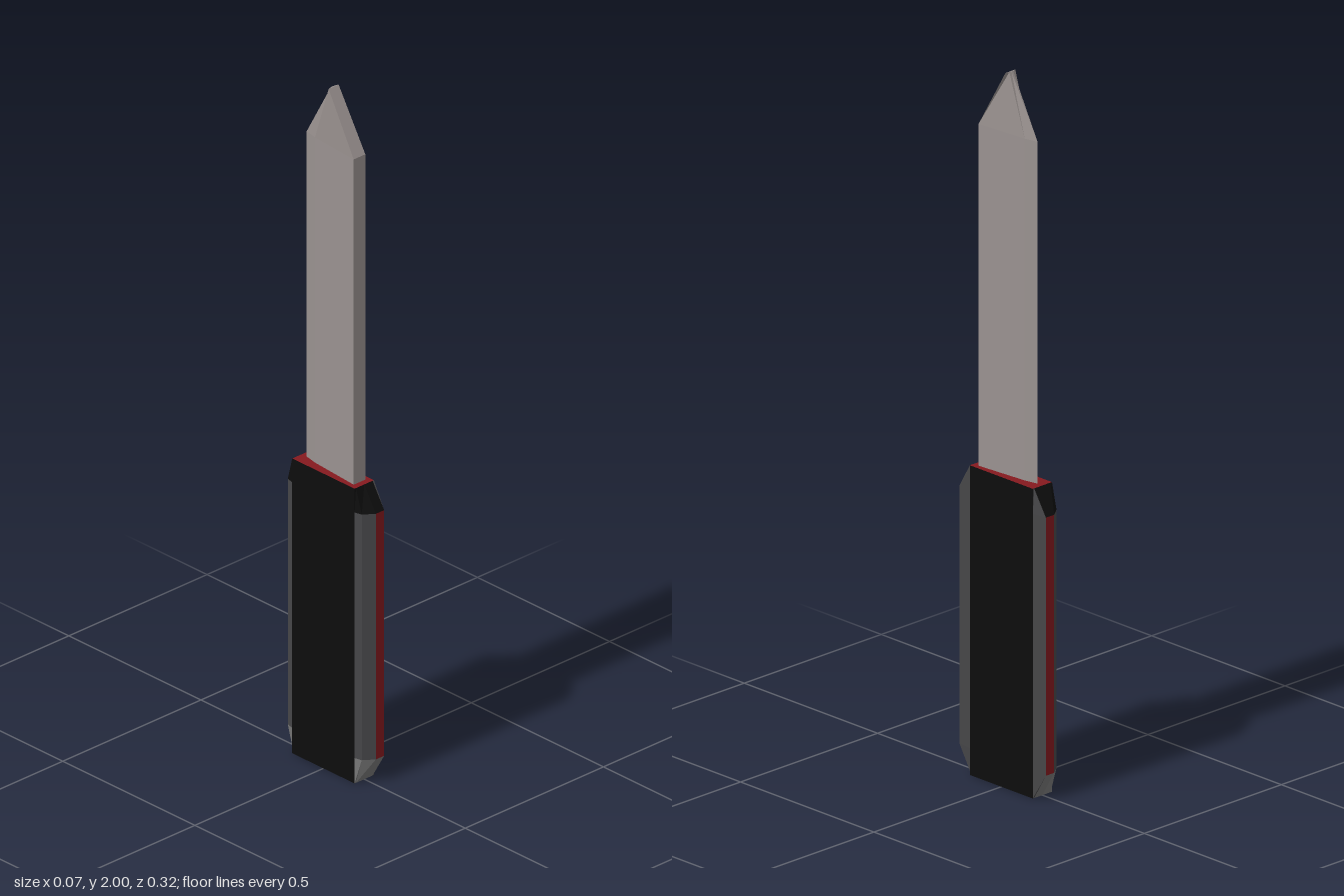
import * as THREE from 'three';

const paint = (color) => new THREE.MeshStandardMaterial({ color, flatShading: true });

// Builds one mesh from a list of convex faces (each a loop of points).
function facesMesh(name, color, faces) {
  const pos = [];
  for (const f of faces) {
    for (let i = 1; i < f.length - 1; i++) pos.push(...f[0], ...f[i], ...f[i + 1]);
  }
  const geo = new THREE.BufferGeometry();
  geo.setAttribute('position', new THREE.Float32BufferAttribute(pos, 3));
  geo.computeVertexNormals();
  const mesh = new THREE.Mesh(geo, paint(color));
  mesh.name = name;
  return mesh;
}

// A horizontal ring from [x, z] points, and the quad joining edge i of two rings.
const ring = (pts, y) => pts.map(([x, z]) => [x, y, z]);
const panel = (lo, hi, i) => {
  const j = (i + 1) % lo.length;
  return [lo[i], lo[j], hi[j], hi[i]];
};

function createBlade() {
  // Thick spine at +z, bevelled cutting edge at -z
  const section = [[-0.021, 0.1], [0.021, 0.1], [0.008, -0.06], [0, -0.1], [-0.008, -0.06]];
  // The point closes in z but keeps most of its width
  const tip = section.map(([x, z]) => [x * 0.86, z * 0.02]);
  const rings = [ring(section, 0.85), ring(section, 1.83), ring(tip, 2)];
  const faces = [[...rings[0]].reverse(), rings[2]];
  for (let k = 0; k < 2; k++) {
    for (let i = 0; i < section.length; i++) faces.push(panel(rings[k], rings[k + 1], i));
  }
  return facesMesh('blade', 0x9a9290, faces);
}

function createHandle() {
  const handle = new THREE.Group();
  handle.name = 'handle';

  // Half of the section, mirrored in z
  const half = [[-0.035, 0.118], [-0.03, 0.14], [0, 0.162], [0.03, 0.162], [0.035, 0.118]];
  const section = [...half, ...[...half].reverse().map(([x, z]) => [x, -z])];
  const capSection = section.map(([x, z]) => [x, Math.sign(z) * 0.118]);
  const rings = [
    ring(capSection, 0), ring(section, 0.075), ring(section, 0.8), ring(capSection, 0.87),
  ];

  const grips = [], chamfers = [], inlays = [], upperSlopes = [], lowerSlopes = [];
  for (let i = 0; i < section.length; i++) {
    const bands = [0, 1, 2].map((k) => panel(rings[k], rings[k + 1], i));
    if (i === 4 || i === 9) {
      grips.push(...bands);                    // broad side faces
    } else if (i === 3 || i === 5) {
      chamfers.push(...bands);                 // shallow chamfers at +x
    } else {
      lowerSlopes.push(bands[0]);
      (i === 2 || i === 6 ? inlays : chamfers).push(bands[1]);
      upperSlopes.push(bands[2]);
    }
  }
  // Red ends of the handle
  const corners = [0, 4, 5, 9];
  const ends = [corners.map((i) => rings[3][i]), corners.map((i) => rings[0][i]).reverse()];

  handle.add(
    facesMesh('gripSides', 0x0d0d0d, grips),
    facesMesh('gripChamfers', 0x464648, chamfers),
    facesMesh('edgeInlays', 0x85191f, inlays),
    facesMesh('upperSlopes', 0x0d0d0d, upperSlopes),
    facesMesh('lowerSlopes', 0x777777, lowerSlopes),
    facesMesh('handleEnds', 0x85191f, ends),
  );
  return handle;
}

export function createModel() {
  const model = new THREE.Group();
  model.name = 'knife';
  model.add(createBlade(), createHandle());
  return model;
}
